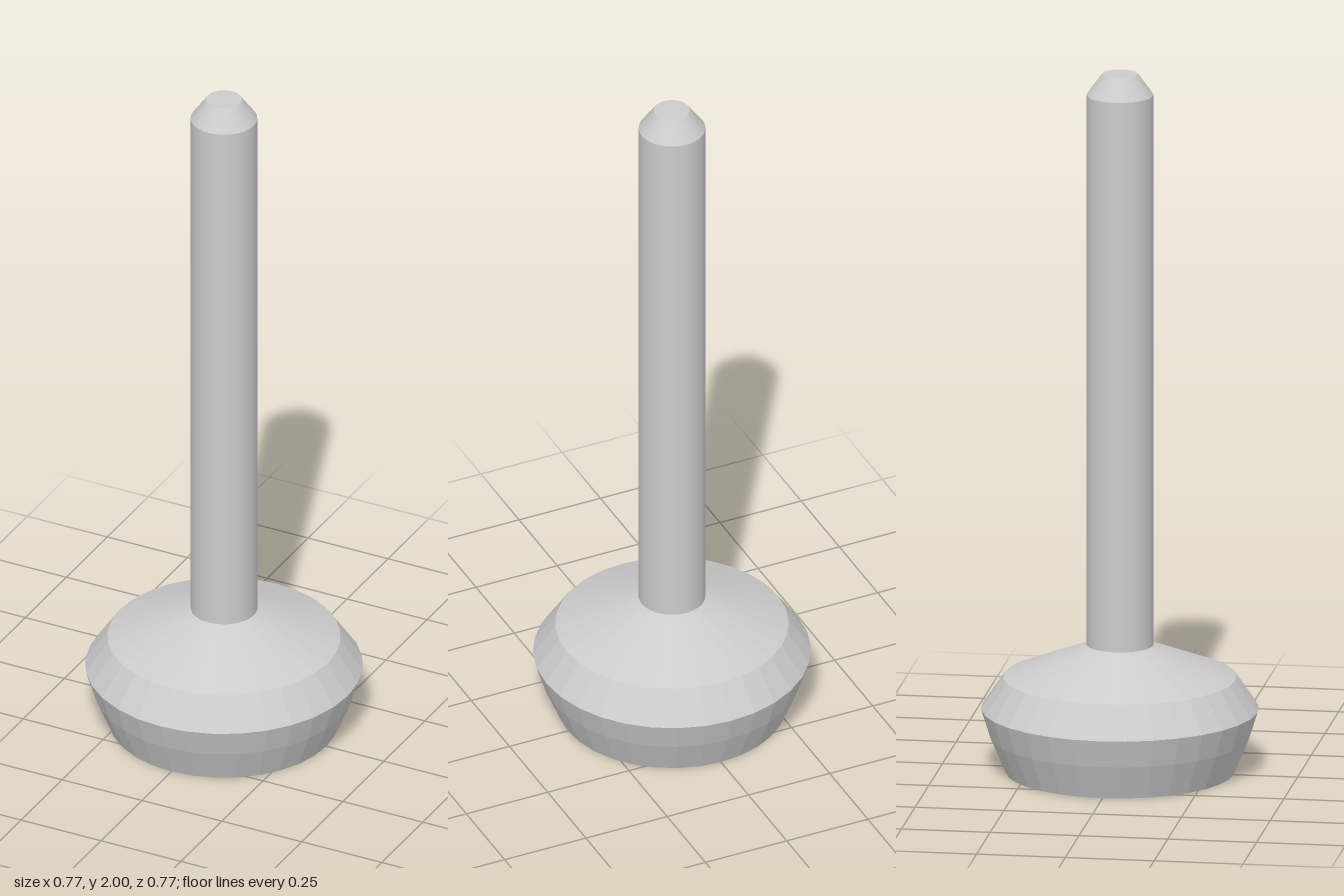
import * as THREE from 'three';

const points = (list) => list.map(([r, y]) => new THREE.Vector2(r, y));

// Turned part from a profile of [radius, height] pairs, bottom to top
function turned(name, profile, sides, flatShading) {
  const material = new THREE.MeshStandardMaterial({ color: 0xcccccc, flatShading });
  const mesh = new THREE.Mesh(new THREE.LatheGeometry(points(profile), sides), material);
  mesh.name = name;
  return mesh;
}

export function createModel() {
  const model = new THREE.Group();
  model.name = 'levelingFoot';

  // Faceted foot with a shallow conical recess underneath
  model.add(turned('foot', [
    [0, 0.08], [0.07, 0.08], [0.257, 0], [0.32, 0],
    [0.362, 0.1], [0.387, 0.18], [0.325, 0.27], [0.093, 0.362], [0, 0.362],
  ], 32, true));

  // Smooth round stem
  model.add(turned('stem', [[0.093, 0.355], [0.093, 1.94]], 32, false));

  // Chamfered tip with a flat end
  model.add(turned('tip', [[0.093, 1.94], [0.05, 2], [0, 2]], 32, true));

  return model;
}
